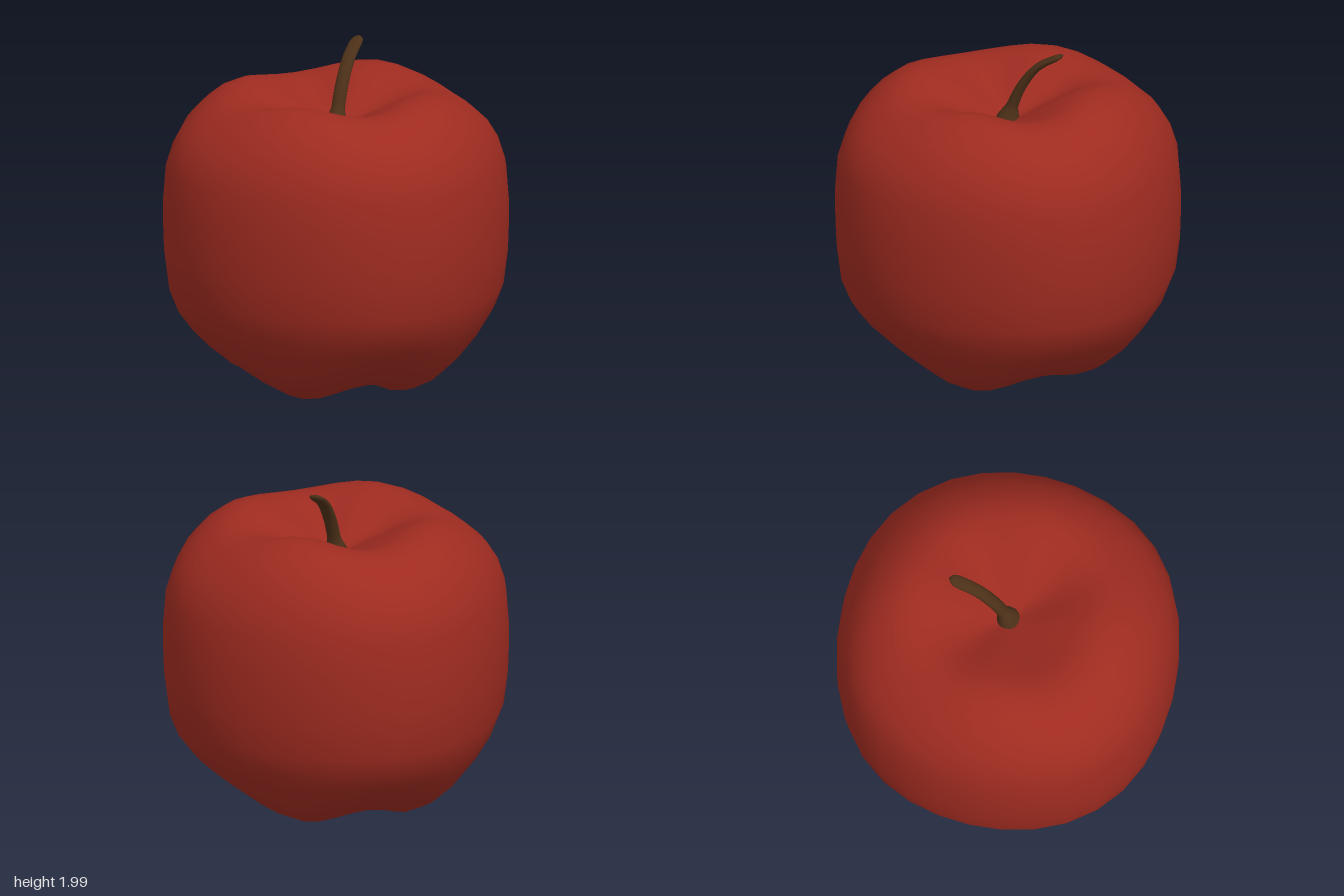
import * as THREE from 'three';
import { mergeVertices } from 'three/addons/utils/BufferGeometryUtils.js';

const { smoothstep } = THREE.MathUtils;

// Weld seams and poles so the shading is smooth all round
function smooth(geometry) {
  geometry.deleteAttribute('normal');
  geometry.deleteAttribute('uv');
  const welded = mergeVertices(geometry, 1e-4);
  welded.computeVertexNormals();
  return welded;
}

function part(name, geometry, color) {
  const mesh = new THREE.Mesh(geometry, new THREE.MeshStandardMaterial({ color, roughness: 0.8 }));
  mesh.name = name;
  return mesh;
}

// Turned body, then four lobes raised on the axes at top and bottom
function fruitGeometry() {
  const profile = [
    [0, 0.22], [0.05, 0.2], [0.12, 0.14], [0.2, 0.08], [0.29, 0.03], [0.38, 0.005],
    [0.48, 0.02], [0.6, 0.08], [0.72, 0.19], [0.82, 0.32], [0.9, 0.46], [0.95, 0.6],
    [0.975, 0.8], [0.98, 0.95], [0.98, 1.1], [0.965, 1.3], [0.925, 1.44], [0.865, 1.56],
    [0.785, 1.65], [0.7, 1.715], [0.62, 1.75], [0.54, 1.76], [0.46, 1.745], [0.38, 1.715],
    [0.28, 1.665], [0.18, 1.61], [0.08, 1.55], [0, 1.52],
  ].map(([r, y]) => new THREE.Vector2(r, y));
  const geometry = new THREE.LatheGeometry(profile, 32);
  const pos = geometry.attributes.position;
  for (let i = 0; i < pos.count; i++) {
    const x = pos.getX(i), y = pos.getY(i), z = pos.getZ(i);
    const r = Math.hypot(x, z);
    if (r < 1e-6) continue;
    const angle = Math.atan2(x, z);
    const diagonal = (1 - Math.cos(4 * angle)) / 2;
    const back = Math.max(0, -Math.cos(angle)) ** 4;
    const reach = smoothstep(r, 0, 0.35);
    const low = (1 - smoothstep(y, 0.05, 0.6)) * reach;
    const high = smoothstep(y, 1.3, 1.7) * reach;
    const widen = 1 + 0.03 * diagonal * smoothstep(r, 0.3, 0.95);
    pos.setXYZ(i, x * widen,
      y + diagonal * (0.085 * low - 0.055 * high) + back * (0.02 * low + 0.03 * high),
      z * widen);
  }
  return smooth(geometry);
}

// Bent stem: flared foot, thinning towards a flattened, rounded tip
function stemGeometry() {
  const curve = new THREE.CatmullRomCurve3([
    [1.49, 0.01], [1.6, -0.02], [1.76, -0.09], [1.89, -0.19], [1.99, -0.35],
  ].map(([y, z]) => new THREE.Vector3(0, y, z)));
  const rings = 28, sides = 14;
  const geometry = new THREE.TubeGeometry(curve, rings, 1, sides);
  const pos = geometry.attributes.position;
  const v = new THREE.Vector3();
  for (let i = 0; i <= rings; i++) {
    const t = i / rings;
    const centre = curve.getPointAt(t);
    const flare = 0.035 * (1 - smoothstep(t, 0.04, 0.24));
    const tip = Math.sqrt(Math.max(0, 1 - Math.max(0, (t - 0.88) / 0.12) ** 2));
    const wide = (0.04 + flare) * tip;
    const deep = (0.037 - 0.02 * t + flare) * tip;
    for (let j = 0; j <= sides; j++) {
      const k = i * (sides + 1) + j;
      v.fromBufferAttribute(pos, k).sub(centre);
      pos.setXYZ(k, v.x * wide, centre.y + v.y * deep, centre.z + v.z * deep);
    }
  }
  return smooth(geometry);
}

export function createModel() {
  const model = new THREE.Group();
  model.name = 'apple';
  model.add(part('fruit', fruitGeometry(), 0x9e2b20));
  model.add(part('stem', stemGeometry(), 0x4c3018));

  // Dried blossom end in the lower hollow
  const blossom = part('blossomEnd', new THREE.SphereGeometry(0.05, 12, 8), 0x4a3c20);
  blossom.scale.y = 0.6;
  blossom.position.y = 0.205;
  model.add(blossom);
  return model;
}
